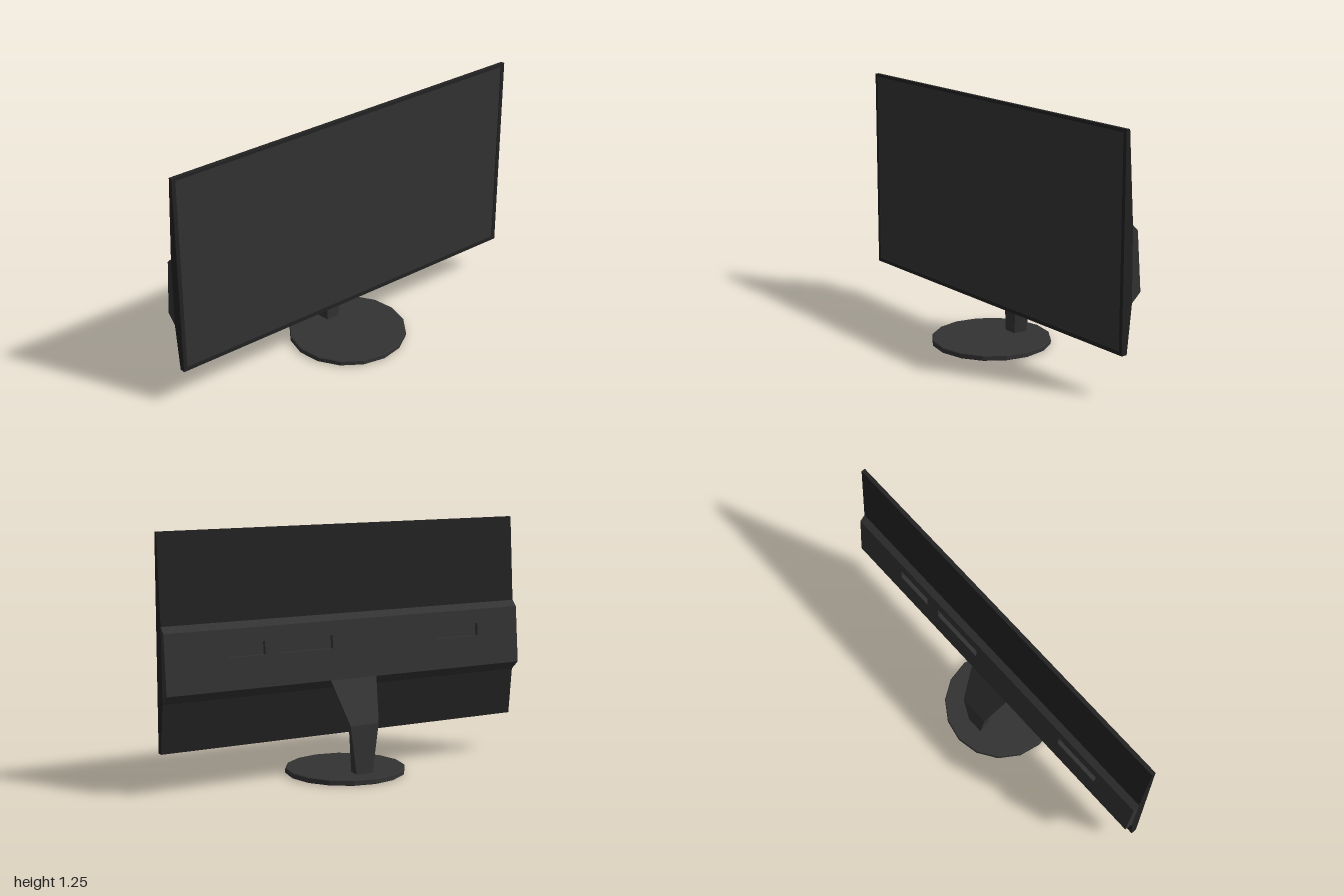
import * as THREE from 'three';

const grey = new THREE.MeshStandardMaterial({ color: 0x333333, flatShading: true });
const dark = new THREE.MeshStandardMaterial({ color: 0x222222, flatShading: true });

function add(parent, name, geometry, material) {
  const mesh = new THREE.Mesh(geometry, material);
  mesh.name = name;
  parent.add(mesh);
  return mesh;
}

// Extrudes a side profile of [z, y] points between two x positions.
function extrudeAlongX(profile, x0, x1) {
  const shape = new THREE.Shape(profile.map(([z, y]) => new THREE.Vector2(z, y)));
  const geometry = new THREE.ExtrudeGeometry(shape, { depth: x1 - x0, bevelEnabled: false });
  return geometry.rotateY(-Math.PI / 2).translate(x1, 0, 0);
}

// Lofts four-cornered sections: front edge (z, y, half width), back edge (z, y, half width).
function loft(sections) {
  const positions = [];
  const index = [];
  for (const [zf, yf, wf, zb, yb, wb] of sections) {
    positions.push(-wf, yf, zf, wf, yf, zf, wb, yb, zb, -wb, yb, zb);
  }
  for (let s = 0; s < sections.length - 1; s++) {
    for (let i = 0; i < 4; i++) {
      const a = s * 4 + i, b = s * 4 + (i + 1) % 4;
      index.push(a, b, b + 4, a, b + 4, a + 4);
    }
  }
  const t = (sections.length - 1) * 4;
  index.push(0, 2, 1, 0, 3, 2, t, t + 1, t + 2, t, t + 2, t + 3);
  const geometry = new THREE.BufferGeometry();
  geometry.setAttribute('position', new THREE.Float32BufferAttribute(positions, 3));
  geometry.setIndex(index);
  const flat = geometry.toNonIndexed();
  flat.computeVertexNormals();
  return flat;
}

export function createModel() {
  const model = new THREE.Group();
  model.name = 'monitor';

  // Thin display panel, thickest behind its middle
  add(model, 'panel', extrudeAlongX([
    [0.014, 0.205], [0.014, 1.245], [0, 1.245], [-0.03, 0.81], [-0.035, 0.445], [-0.01, 0.205],
  ].reverse(), -1, 1), dark);

  // Narrow raised bezel around the screen
  const frame = new THREE.Shape([[-1, 0.205], [1, 0.205], [1, 1.245], [-1, 1.245]]
    .map(([x, y]) => new THREE.Vector2(x, y)));
  frame.holes.push(new THREE.Path([[-0.98, 0.225], [-0.98, 1.23], [0.98, 1.23], [0.98, 0.225]]
    .map(([x, y]) => new THREE.Vector2(x, y))));
  add(model, 'bezel', new THREE.ExtrudeGeometry(frame, { depth: 0.006, bevelEnabled: false })
    .translate(0, 0, 0.014), dark);

  add(model, 'screen', new THREE.BoxGeometry(1.96, 1.005, 0.008).translate(0, 0.7275, 0.012), grey);

  // Rear housing, cut in runs along x so the port recesses can be notched in
  const housing = new THREE.Group();
  housing.name = 'rearHousing';
  model.add(housing);
  const backZ = (y) => -0.085 + (y - 0.49) * 0.025 / 0.29;
  const bottom = [[-0.035, 0.445], [-0.085, 0.49]];
  const top = [[-0.06, 0.78], [-0.03, 0.81]];
  const [slotLow, slotHigh] = [0.645, 0.71];
  const notch = [
    [backZ(slotLow), slotLow], [backZ(slotLow) + 0.02, slotLow],
    [backZ(slotHigh) + 0.02, slotHigh], [backZ(slotHigh), slotHigh],
  ];
  const cuts = [-1, -0.75, -0.49, 0.11, 0.4, 0.48, 0.68, 1];
  for (let i = 0; i < cuts.length - 1; i++) {
    const recessed = i % 2 === 1;
    const profile = recessed ? [...bottom, ...notch, ...top] : [...bottom, ...top];
    add(housing, recessed ? 'portRecess' : 'housingRun',
      extrudeAlongX(profile, cuts[i], cuts[i + 1]), grey);
  }

  // Cranked neck, widening towards the housing
  add(model, 'neck', loft([
    [-0.12, 0.025, 0.035, -0.19, 0.025, 0.045],
    [-0.12, 0.27, 0.05, -0.19, 0.275, 0.08],
    [-0.033, 0.445, 0.09, -0.085, 0.49, 0.13],
  ]), grey);

  // Round foot with slightly chamfered rims
  const rim = [[0, 0], [0.292, 0], [0.302, 0.005], [0.302, 0.026], [0.298, 0.03], [0, 0.03]];
  add(model, 'base', new THREE.LatheGeometry(rim.map(([r, y]) => new THREE.Vector2(r, y)), 16), grey);

  return model;
}
